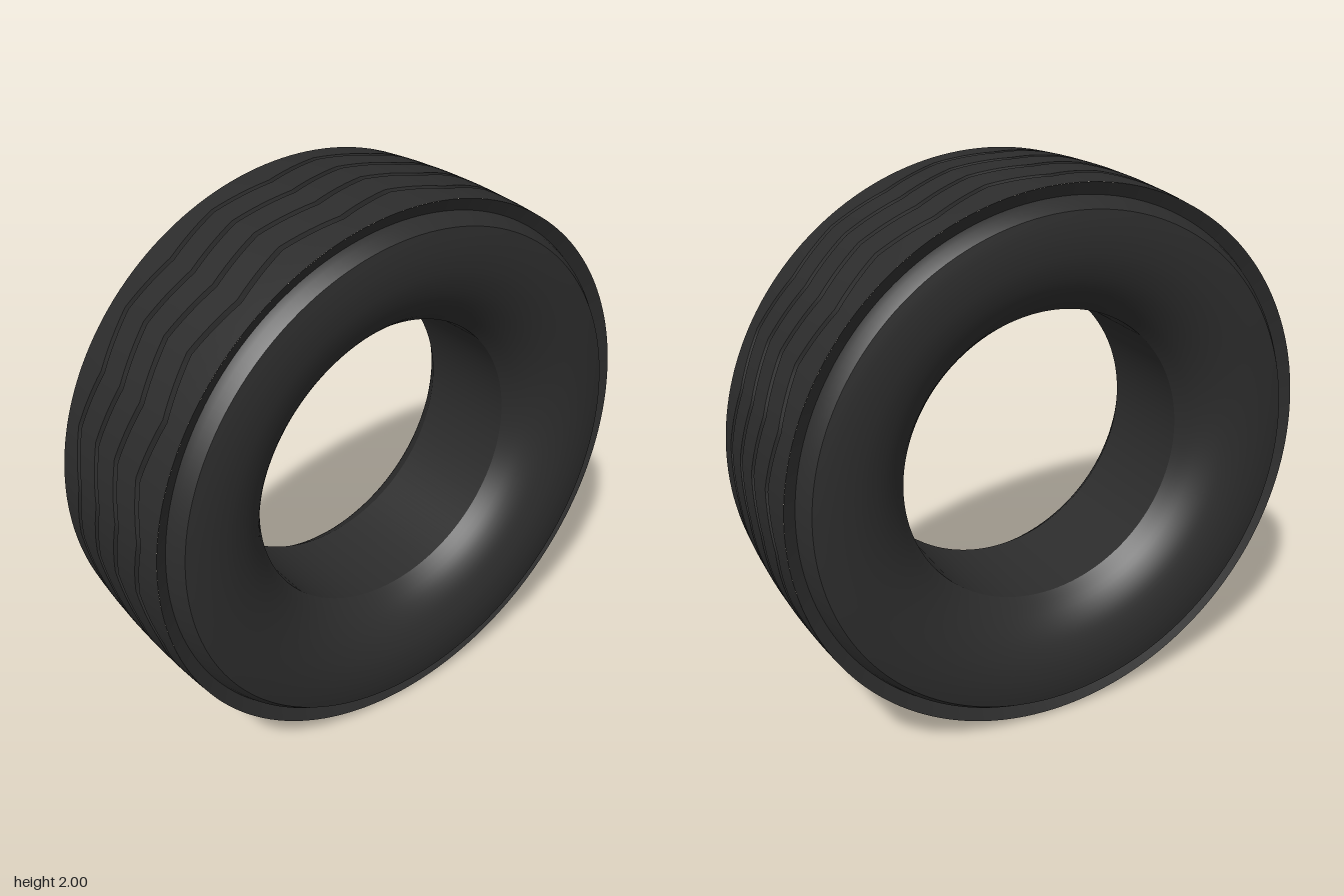
import * as THREE from 'three';
import { toCreasedNormals } from 'three/addons/utils/BufferGeometryUtils.js';

const ZIGZAGS = 30;                 // straight groove runs around the tyre
const STEPS = ZIGZAGS * 6;          // angular divisions

// Sweeps a [radius, z] profile around the z axis; the profile may vary with the step.
function sweep(profileAt, crease) {
  const positions = [], index = [];
  const n = profileAt(0).length;
  for (let i = 0; i < STEPS; i++) {
    const a = Math.PI / 2 + (i / STEPS) * Math.PI * 2;
    for (const [r, z] of profileAt(i)) positions.push(r * Math.cos(a), r * Math.sin(a), z);
  }
  for (let i = 0; i < STEPS; i++) {
    const p = i * n, q = ((i + 1) % STEPS) * n;
    for (let k = 0; k < n - 1; k++) {
      index.push(p + k, q + k, p + k + 1, q + k, q + k + 1, p + k + 1);
    }
  }
  const geometry = new THREE.BufferGeometry();
  geometry.setAttribute('position', new THREE.Float32BufferAttribute(positions, 3));
  geometry.setIndex(index);
  return toCreasedNormals(geometry, crease);
}

// Slightly crowned tread with four parallel zigzag grooves
function treadProfile(step) {
  const t = (step / 6) % 2;
  const shift = 0.02 * (1 - 2 * Math.abs(t - 1));
  const crown = (z) => 1 - 0.16 * z * z;
  const points = [[crown(0.305), -0.305], [crown(0.26), -0.26]];
  for (const centre of [-0.19, -0.062, 0.062, 0.19]) {
    const z = centre + shift;
    for (const [dz, depth] of [[-0.011, 0], [-0.006, 0.022], [0.006, 0.022], [0.011, 0]]) {
      points.push([crown(z + dz) - depth, z + dz]);
    }
  }
  points.push([crown(0.26), 0.26], [crown(0.305), 0.305]);
  return points;
}

// Undercut tread edge and chamfered shoulder
const shoulder = [[0.985, 0.305], [0.94, 0.28], [0.93, 0.305], [0.906, 0.338]];

// Bulging sidewall rolling in to the bead
const sidewall = new THREE.SplineCurve([
  [0.906, 0.338], [0.86, 0.347], [0.8, 0.351], [0.73, 0.343],
  [0.655, 0.314], [0.59, 0.263], [0.54, 0.195],
].map(([r, z]) => new THREE.Vector2(r, z))).getPoints(24).map((p) => [p.x, p.y]);

const mirrored = (profile) => profile.map(([r, z]) => [r, -z]).reverse();

export function createModel() {
  const rubber = new THREE.MeshStandardMaterial({ color: 0x2c2c2c });
  rubber.name = 'black rubber';
  const tyre = new THREE.Group();
  tyre.name = 'tyre';

  const add = (name, profileAt, crease) => {
    const mesh = new THREE.Mesh(sweep(profileAt, crease), rubber);
    mesh.name = name;
    mesh.position.y = 1;
    tyre.add(mesh);
  };

  add('tread', treadProfile, 0.4);
  add('frontShoulder', () => shoulder, 0.3);
  add('backShoulder', () => mirrored(shoulder), 0.3);
  add('frontSidewall', () => sidewall, 0.6);
  add('backSidewall', () => mirrored(sidewall), 0.6);
  add('bore', () => [[0.54, 0.195], [0.54, -0.195]], 0.6);
  return tyre;
}
